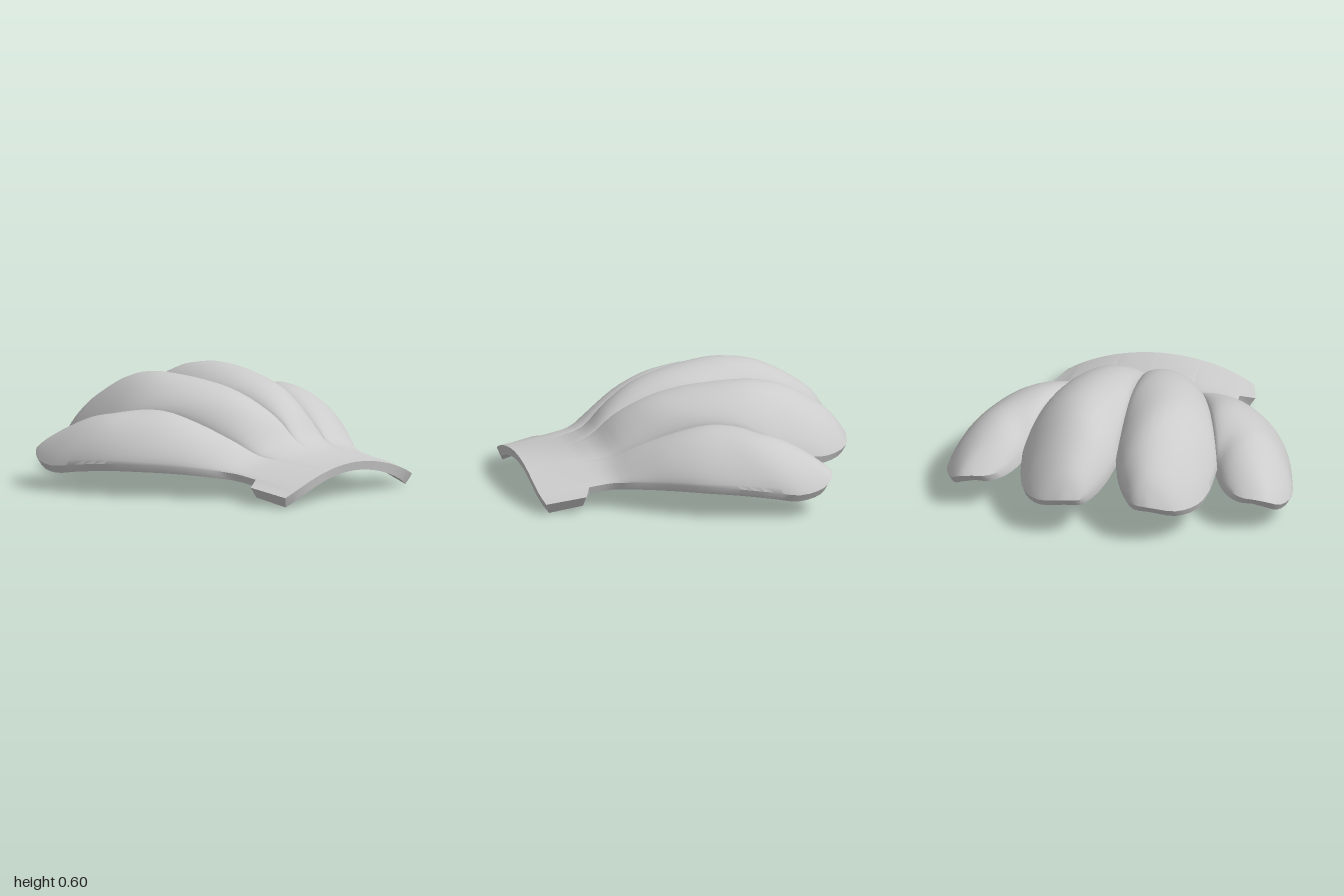
import * as THREE from 'three';
import { toCreasedNormals } from 'three/addons/utils/BufferGeometryUtils.js';

const NOTCH = 6; // control row where neighbouring lobes part
const LAST = 10; // control row at the lobe tip
const STEPS = 3; // rows per control segment
const COLS = 14;

// Smooth curve with a sharp corner at the notch; s is a control row number
function edge(points) {
  const v = points.map((p) => new THREE.Vector3(...p));
  const a = new THREE.CatmullRomCurve3(v.slice(0, NOTCH + 1));
  const b = new THREE.CatmullRomCurve3(v.slice(NOTCH));
  return (s) => (s <= NOTCH ? a.getPoint(s / NOTCH) : b.getPoint((s - NOTCH) / (LAST - NOTCH)));
}
function smooth(points) {
  const c = new THREE.CatmullRomCurve3(points.map((p) => new THREE.Vector3(...p)));
  return (s) => c.getPoint(s / LAST);
}

// Collects quads and their mirror images across x = 0
function collector() {
  const pos = [];
  const tri = (a, b, c) => {
    const area = b.clone().sub(a).cross(c.clone().sub(a)).length();
    if (area < 1e-7) return;
    for (const p of [a, b, c]) pos.push(p.x, p.y, p.z);
    for (const p of [a, c, b]) pos.push(-p.x, p.y, p.z);
  };
  const quad = (a, b, c, d) => { tri(a, b, c); tri(a, c, d); };
  const mesh = (name) => {
    const g = new THREE.BufferGeometry();
    g.setAttribute('position', new THREE.Float32BufferAttribute(pos, 3));
    const m = new THREE.Mesh(toCreasedNormals(g, 0.65), new THREE.MeshStandardMaterial({ color: 0xcccccc }));
    m.name = name;
    return m;
  };
  return { quad, mesh };
}

// Lobe between two edges, arched over a ridge, with a plain, flattened underside.
// Returns its first rows so that the hinge band can join on.
function addLobe(quad, left, ridge, right, leftFree, rightFree) {
  const top = [], bottom = [];
  for (let r = 0; r <= LAST * STEPS; r++) {
    const s = r / STEPS;
    const L = left(s), R = right(s);
    const bulge = ridge(s).sub(L.clone().add(R).multiplyScalar(0.5));
    const t = [], b = [];
    for (let i = 0; i <= COLS; i++) {
      const u = (1 - Math.cos((Math.PI * i) / COLS)) / 2;
      const w = Math.pow(Math.max(0, 1 - (2 * u - 1) ** 2), 0.65);
      const chord = L.clone().lerp(R, u);
      t.push(chord.clone().addScaledVector(bulge, w));
      const under = chord.clone().addScaledVector(bulge, 0.12 * w);
      under.x *= 0.978;
      under.y -= 0.043;
      under.y -= 0.6 * Math.max(0, under.y - 0.33);
      under.z += 0.03 * (s / LAST) ** 3;
      b.push(under);
    }
    top.push(t);
    bottom.push(b);
  }
  for (let r = 0; r < LAST * STEPS; r++) {
    const t0 = top[r], t1 = top[r + 1], b0 = bottom[r], b1 = bottom[r + 1];
    for (let i = 0; i < COLS; i++) {
      quad(t0[i], t0[i + 1], t1[i + 1], t1[i]);
      quad(b0[i], b1[i], b1[i + 1], b0[i + 1]);
    }
    // rim walls on the free edges
    if (r >= leftFree * STEPS) quad(b0[0], t0[0], t1[0], b1[0]);
    if (r >= rightFree * STEPS) quad(b0[COLS], b1[COLS], t1[COLS], t0[COLS]);
  }
  return { top: top[0], bottom: bottom[0] };
}

// Arched band running from the front edge into the first row of the lobes
function addHingeBand(quad, back) {
  const line = (x, y, drop, z, dz) => (u) => new THREE.Vector3(x * u, y - drop * u * u, z + dz * u ** 6);
  const frontTop = line(0.54, 0.2, 0.14, 0.935, -0.03);
  const frontBottom = line(0.51, 0.15, 0.15, 0.925, -0.045);
  const n = back.top.length - 1;
  const u = back.top.map((p) => (0.9 * p.x) / back.top[n].x);
  for (let i = 0; i < n; i++) {
    const [ft0, ft1, fb0, fb1] = [frontTop(u[i]), frontTop(u[i + 1]), frontBottom(u[i]), frontBottom(u[i + 1])];
    quad(ft0, ft1, back.top[i + 1], back.top[i]);
    quad(fb0, back.bottom[i], back.bottom[i + 1], fb1);
    quad(fb0, fb1, ft1, ft0);
  }
  // ear that sticks out at the side
  const top = [frontTop(u[n]), frontTop(1), new THREE.Vector3(0.585, 0.1, 0.68), back.top[n]];
  const bottom = [frontBottom(u[n]), frontBottom(1), new THREE.Vector3(0.55, 0.04, 0.69), back.bottom[n]];
  quad(...top);
  quad(bottom[0], bottom[3], bottom[2], bottom[1]);
  for (let k = 0; k < 3; k++) quad(bottom[k], bottom[k + 1], top[k + 1], top[k]);
}

export function createModel() {
  const { quad, mesh } = collector();
  // lines between and around the lobes
  const middle = edge([[0, 0.22, 0.64], [0, 0.275, 0.5], [0, 0.375, 0.36], [0, 0.455, 0.12], [0, 0.49, -0.15],
    [0, 0.44, -0.4], [0, 0.35, -0.61], [0.035, 0.31, -0.73], [0.085, 0.27, -0.825], [0.155, 0.25, -0.92], [0.25, 0.25, -0.945]]);
  const crease = [[0.24, 0.2, 0.64], [0.288, 0.22, 0.48], [0.335, 0.28, 0.34], [0.41, 0.37, 0.08],
    [0.475, 0.41, -0.15], [0.53, 0.365, -0.34], [0.565, 0.27, -0.47]];
  const innerSide = edge([...crease, [0.55, 0.225, -0.62], [0.508, 0.205, -0.77], [0.4, 0.22, -0.905], [0.25, 0.25, -0.945]]);
  const outerSide = edge([...crease, [0.615, 0.245, -0.57], [0.68, 0.23, -0.65], [0.75, 0.225, -0.695], [0.82, 0.225, -0.705]]);
  const border = smooth([[0.5, 0.13, 0.64], [0.52, 0.15, 0.5], [0.62, 0.17, 0.37], [0.74, 0.185, 0.21], [0.85, 0.19, 0.04],
    [0.925, 0.185, -0.14], [0.975, 0.165, -0.33], [1, 0.145, -0.48], [0.957, 0.165, -0.63], [0.89, 0.21, -0.695], [0.82, 0.225, -0.705]]);
  // crests of the lobes
  const innerRidge = smooth([[0.13, 0.215, 0.64], [0.145, 0.27, 0.5], [0.168, 0.385, 0.385], [0.2, 0.495, 0.22], [0.22, 0.555, 0.04],
    [0.245, 0.592, -0.18], [0.26, 0.6, -0.36], [0.26, 0.565, -0.54], [0.255, 0.48, -0.71], [0.25, 0.37, -0.86], [0.25, 0.25, -0.945]]);
  const outerRidge = smooth([[0.37, 0.175, 0.64], [0.4, 0.2, 0.5], [0.47, 0.28, 0.36], [0.56, 0.36, 0.2], [0.63, 0.41, 0.04],
    [0.685, 0.428, -0.12], [0.735, 0.425, -0.27], [0.77, 0.395, -0.4], [0.795, 0.34, -0.53], [0.815, 0.275, -0.64], [0.82, 0.225, -0.705]]);

  const inner = addLobe(quad, middle, innerRidge, innerSide, NOTCH, NOTCH);
  const outer = addLobe(quad, outerSide, outerRidge, border, NOTCH, 0);
  addHingeBand(quad, {
    top: [...inner.top, ...outer.top.slice(1)],
    bottom: [...inner.bottom, ...outer.bottom.slice(1)],
  });

  const group = new THREE.Group();
  group.name = 'scallopShell';
  group.add(mesh('ribbedShellWithHinge'));
  return group;
}
